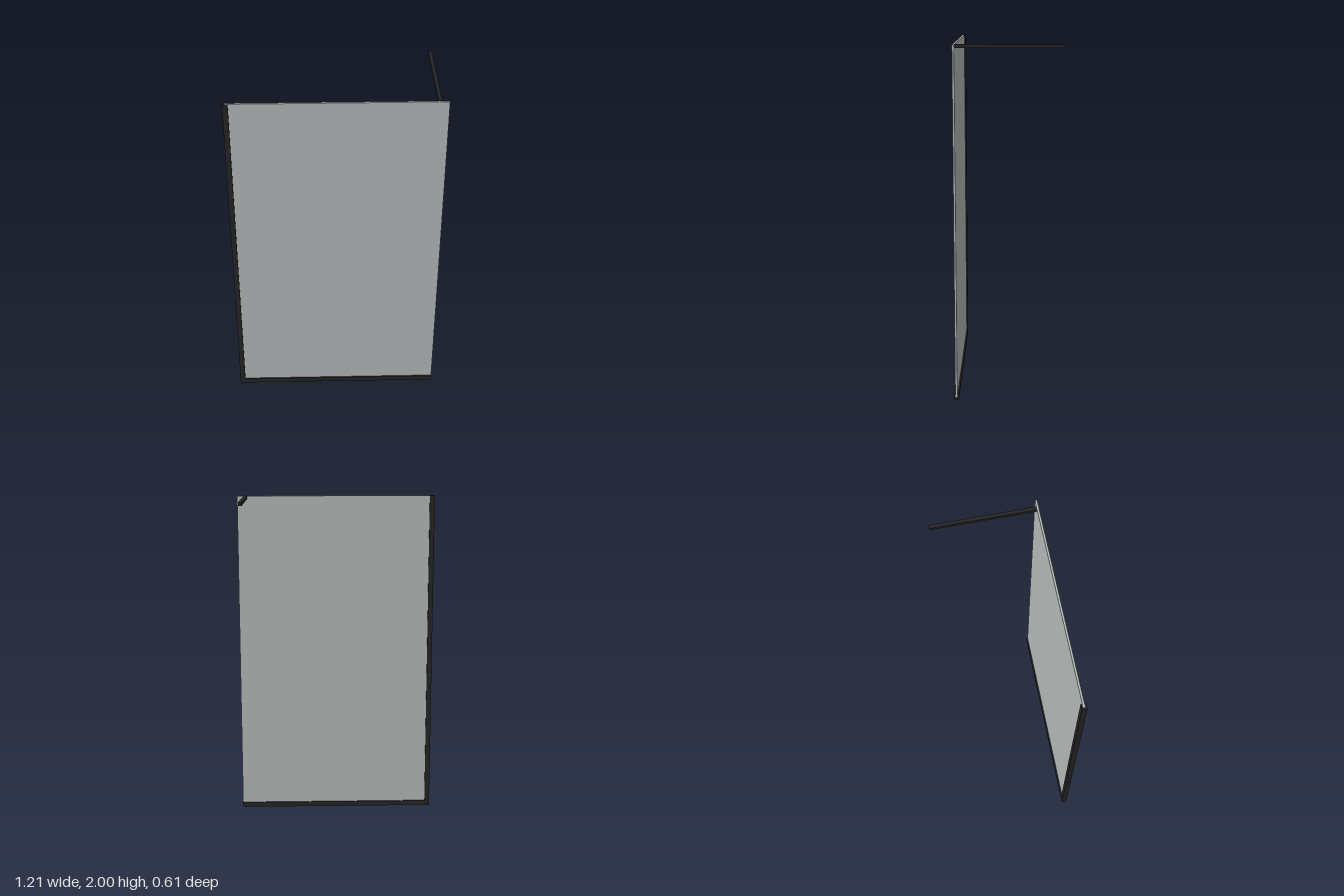
import * as THREE from 'three';

const glassMat = new THREE.MeshStandardMaterial({ color: 0xb6bcbb });
glassMat.name = 'grey glass';
const metalMat = new THREE.MeshStandardMaterial({ color: 0x262626 });
metalMat.name = 'black metal';

// Box given by its min and max corners
function box(name, mat, [x0, y0, z0], [x1, y1, z1]) {
  const mesh = new THREE.Mesh(new THREE.BoxGeometry(x1 - x0, y1 - y0, z1 - z0), mat);
  mesh.position.set((x0 + x1) / 2, (y0 + y1) / 2, (z0 + z1) / 2);
  mesh.name = name;
  return mesh;
}

// U-shaped channel opening towards +y, running along +z
function channel(name, length) {
  const w = 0.015, h = 0.03, wall = 0.009, base = 0.009;
  const s = new THREE.Shape([
    [-w, 0], [w, 0], [w, h], [w - wall, h], [w - wall, base],
    [wall - w, base], [wall - w, h], [-w, h],
  ].map(([x, y]) => new THREE.Vector2(x, y)));
  const mesh = new THREE.Mesh(
    new THREE.ExtrudeGeometry(s, { depth: length, bevelEnabled: false }), metalMat);
  mesh.name = name;
  return mesh;
}

export function createModel() {
  const model = new THREE.Group();
  model.name = 'showerScreen';
  const zMid = 0.29, halfW = 0.605;

  // Glass pane seated in the channels
  model.add(box('glassPane', glassMat,
    [-halfW + 0.01, 0.01, zMid - 0.0058], [halfW, 1.999, zMid + 0.0058]));

  // Floor channel along the bottom edge
  const floor = channel('floorChannel', 2 * halfW);
  floor.rotation.y = Math.PI / 2;
  floor.position.set(-halfW, 0, zMid);
  model.add(floor);

  // Wall channel up the right edge, opening towards the glass
  const wall = channel('wallChannel', 2);
  wall.quaternion.setFromRotationMatrix(new THREE.Matrix4().makeBasis(
    new THREE.Vector3(0, 0, 1), new THREE.Vector3(1, 0, 0), new THREE.Vector3(0, 1, 0)));
  wall.position.set(-halfW, 0, zMid);
  model.add(wall);

  // Stabilising bar from the top of the glass back to the wall
  model.add(box('supportBar', metalMat, [0.545, 1.98, -0.305], [0.565, 2, zMid - 0.0055]));

  return model;
}
